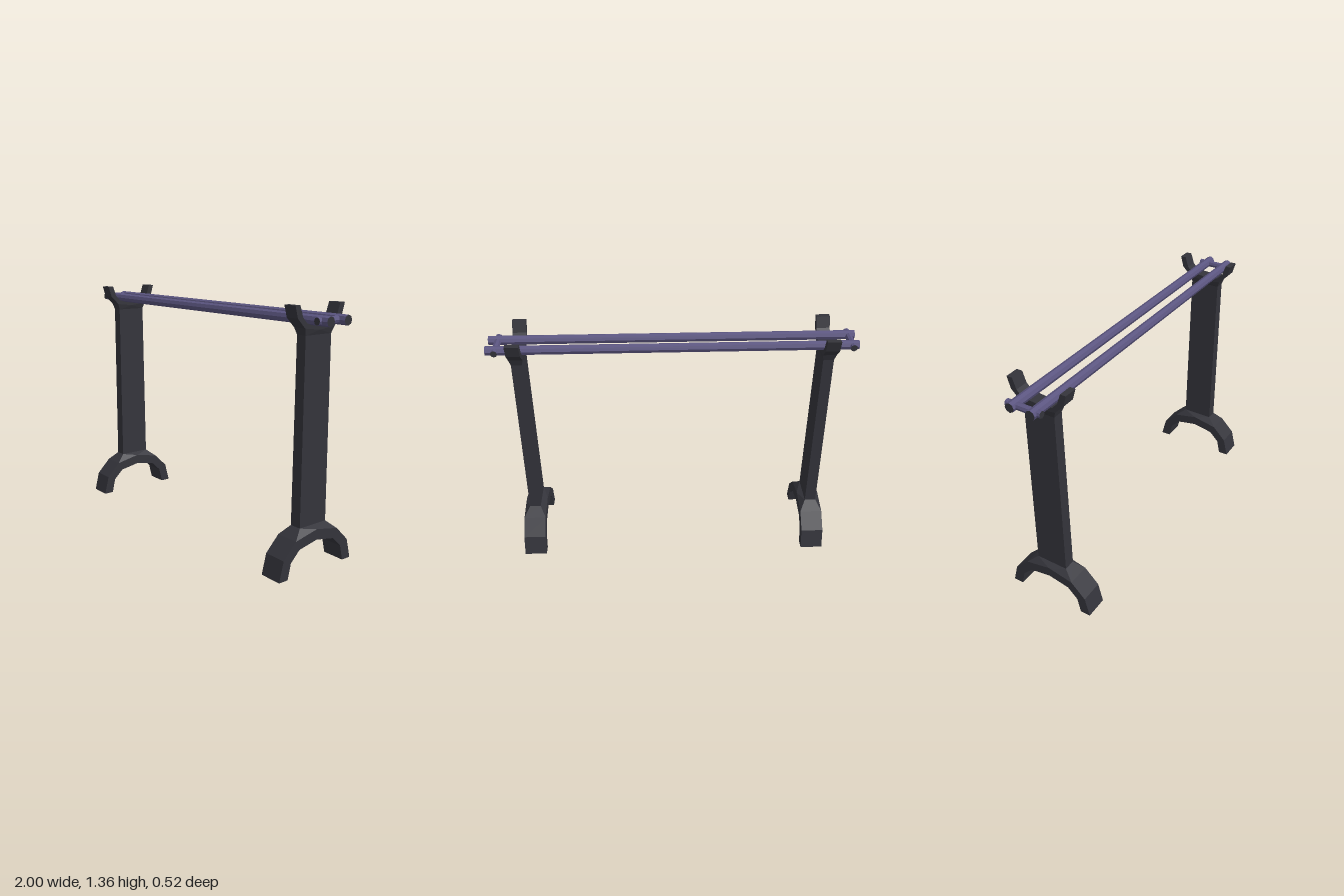
import * as THREE from 'three';
import { ConvexGeometry } from 'three/addons/geometries/ConvexGeometry.js';

const flat = (name, color) => {
  const m = new THREE.MeshStandardMaterial({ color, flatShading: true });
  m.name = name;
  return m;
};

export function createModel() {
  const iron = flat('dark iron', 0x34343b);
  const purple = flat('purple rod', 0x5b5580);
  const model = new THREE.Group();
  model.name = 'barRack';

  const add = (parent, name, geometry, material) => {
    const mesh = new THREE.Mesh(geometry, material);
    mesh.name = name;
    parent.add(mesh);
    return mesh;
  };

  // Mirrored band: outer and inner half profiles [z, y] from tip to centre, extruded along x
  const band = (outer, inner, width) => {
    const flip = (pts) => pts.slice(0, -1).reverse().map(([z, y]) => [-z, y]);
    const loop = [...outer, ...flip(outer), ...[...inner, ...flip(inner)].reverse()];
    const shape = new THREE.Shape(loop.map(([z, y]) => new THREE.Vector2(z, y)));
    const geo = new THREE.ExtrudeGeometry(shape, { depth: width, bevelEnabled: false });
    return geo.translate(0, 0, -width / 2).rotateY(-Math.PI / 2);
  };

  // Solid between rings of [half x, y, half z] corners
  const hull = (rings) => {
    const pts = [];
    for (const [x, y, z] of rings)
      for (const sx of [-1, 1]) for (const sz of [-1, 1]) pts.push(new THREE.Vector3(sx * x, y, sz * z));
    return new ConvexGeometry(pts);
  };

  for (const side of [-1, 1]) {
    const stand = new THREE.Group();
    stand.name = side > 0 ? 'leftStand' : 'rightStand';
    stand.position.x = side * 0.84;
    model.add(stand);

    // Arched foot and its sloping shoulder
    add(stand, 'footArch', band(
      [[0.258, 0], [0.23, 0.11], [0.148, 0.192], [0, 0.222]],
      [[0.2, 0], [0.18, 0.085], [0.122, 0.142], [0, 0.165]], 0.128), iron);
    add(stand, 'footShoulder', hull([
      [0.064, 0.192, 0.148], [0.064, 0.222, 0.001], [0.032, 0.238, 0.092]]), iron);

    // Tapered upright
    add(stand, 'upright', hull([[0.032, 0.236, 0.092], [0.029, 1.214, 0.088]]), iron);

    // Flared neck and forked cradle
    add(stand, 'cradleNeck', hull([
      [0.029, 1.212, 0.088], [0.0375, 1.236, 0.001], [0.0375, 1.248, 0.101]]), iron);
    add(stand, 'cradle', band(
      [[0.169, 1.36], [0.151, 1.298], [0.101, 1.248], [0, 1.236]],
      [[0.137, 1.36], [0.117, 1.302], [0.086, 1.27], [0, 1.263]], 0.075), iron);
  }

  // Long rods with dark ends
  const capped = [purple, iron, iron];
  for (const z of [-0.061, 0.058]) {
    const rod = add(model, 'longRod', new THREE.CylinderGeometry(0.026, 0.026, 2, 8), capped);
    rod.rotation.z = Math.PI / 2;
    rod.position.set(0, 1.288, z);
  }

  // Cross ties joining the rods
  for (const x of [-0.966, 0.949]) {
    const tie = add(model, 'crossTie', new THREE.CylinderGeometry(0.019, 0.019, 0.2, 8), capped);
    tie.rotation.x = Math.PI / 2;
    tie.position.set(x, 1.288, -0.002);
  }
  return model;
}
